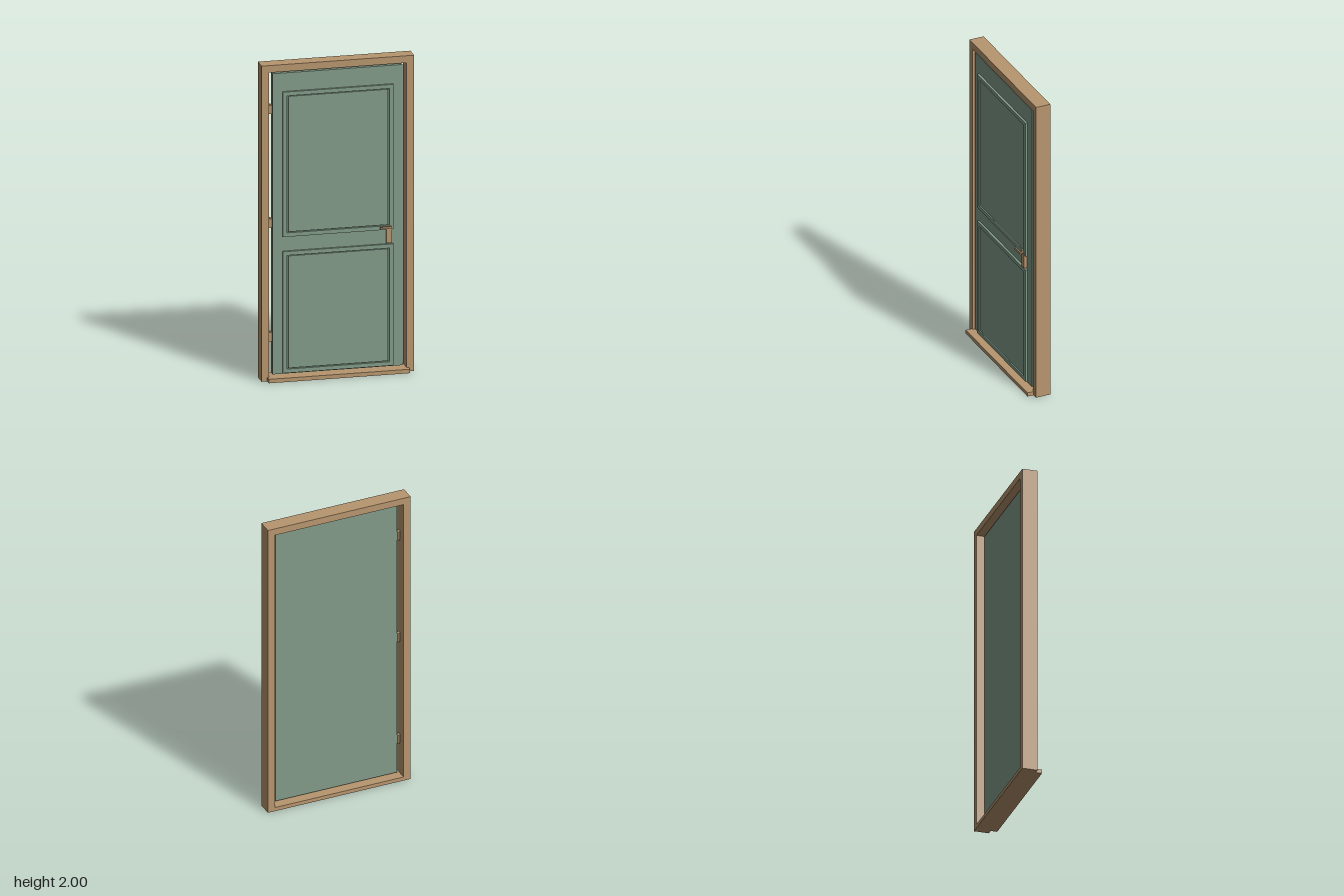
import * as THREE from 'three';

const wood = new THREE.MeshStandardMaterial({ color: 0xb8966f });
wood.name = 'tan wood';
const paint = new THREE.MeshStandardMaterial({ color: 0x829b89 });
paint.name = 'sage paint';

export function createModel() {
  const door = new THREE.Group();
  door.name = 'door';

  // Box given by its limits on each axis
  const box = (name, material, [x0, x1], [y0, y1], [z0, z1], parent = door) => {
    const mesh = new THREE.Mesh(new THREE.BoxGeometry(x1 - x0, y1 - y0, z1 - z0), material);
    mesh.position.set((x0 + x1) / 2, (y0 + y1) / 2, (z0 + z1) / 2);
    mesh.name = name;
    parent.add(mesh);
    return mesh;
  };

  // Rectangle outline for shapes and holes
  const rect = (Type, w, y0, y1) => new Type([
    new THREE.Vector2(-w, y0), new THREE.Vector2(w, y0),
    new THREE.Vector2(w, y1), new THREE.Vector2(-w, y1),
  ]);

  // Surround: one upside-down U, open at the bottom
  const outline = new THREE.Shape();
  outline.moveTo(-0.475, 0).lineTo(-0.428, 0).lineTo(-0.428, 1.955).lineTo(0.428, 1.955)
    .lineTo(0.428, 0).lineTo(0.475, 0).lineTo(0.475, 2).lineTo(-0.475, 2).closePath();
  const frame = new THREE.Mesh(
    new THREE.ExtrudeGeometry(outline, { depth: 0.095, bevelEnabled: false }), wood);
  frame.position.z = -0.07;
  frame.name = 'doorFrame';
  door.add(frame);

  // Threshold with a wider lip in front of the jambs
  box('threshold', wood, [-0.428, 0.428], [0, 0.025], [-0.07, 0.025]);
  box('thresholdLip', wood, [-0.44, 0.44], [0, 0.025], [0.025, 0.066]);

  // Door leaf
  box('leaf', paint, [-0.405, 0.405], [0.04, 1.945], [-0.025, 0.02]);

  // Raised mouldings, each with a field panel set inside a narrow groove
  for (const [name, y0, y1] of [['lower', 0.047, 0.817], ['upper', 0.91, 1.828]]) {
    const ring = rect(THREE.Shape, 0.345, y0, y1);
    ring.holes.push(rect(THREE.Path, 0.32, y0 + 0.025, y1 - 0.025));
    const moulding = new THREE.Mesh(
      new THREE.ExtrudeGeometry(ring, { depth: 0.015, bevelEnabled: false }), paint);
    moulding.position.z = 0.02;
    moulding.name = name + 'Moulding';
    door.add(moulding);
    box(name + 'Panel', paint, [-0.31, 0.31], [y0 + 0.03, y1 - 0.03], [0.02, 0.031]);
  }

  // Hinges bridging the gap on the model's right
  for (const y of [0.272, 0.992, 1.712]) {
    const hinge = new THREE.Group();
    hinge.name = 'hinge';
    box('hingePlate', wood, [-0.43, -0.404], [y - 0.028, y + 0.028], [-0.022, 0], hinge);
    const pin = new THREE.Mesh(new THREE.CylinderGeometry(0.006, 0.006, 0.062, 12), wood);
    pin.position.set(-0.414, y, -0.025);
    pin.name = 'hingePin';
    hinge.add(pin);
    door.add(hinge);
  }

  // Lever handle with its backplate and keyhole boss
  const handle = new THREE.Group();
  handle.name = 'handle';
  box('backplate', wood, [0.3, 0.334], [0.825, 0.935], [0.02, 0.039], handle);
  box('handleNeck', wood, [0.315, 0.327], [0.925, 0.937], [0.039, 0.056], handle);
  box('lever', wood, [0.255, 0.327], [0.925, 0.937], [0.056, 0.066], handle);
  const boss = new THREE.Mesh(new THREE.CylinderGeometry(0.004, 0.004, 0.002, 12), wood);
  boss.rotation.x = Math.PI / 2;
  boss.position.set(0.317, 0.85, 0.04);
  boss.name = 'keyhole';
  handle.add(boss);
  door.add(handle);

  return door;
}
